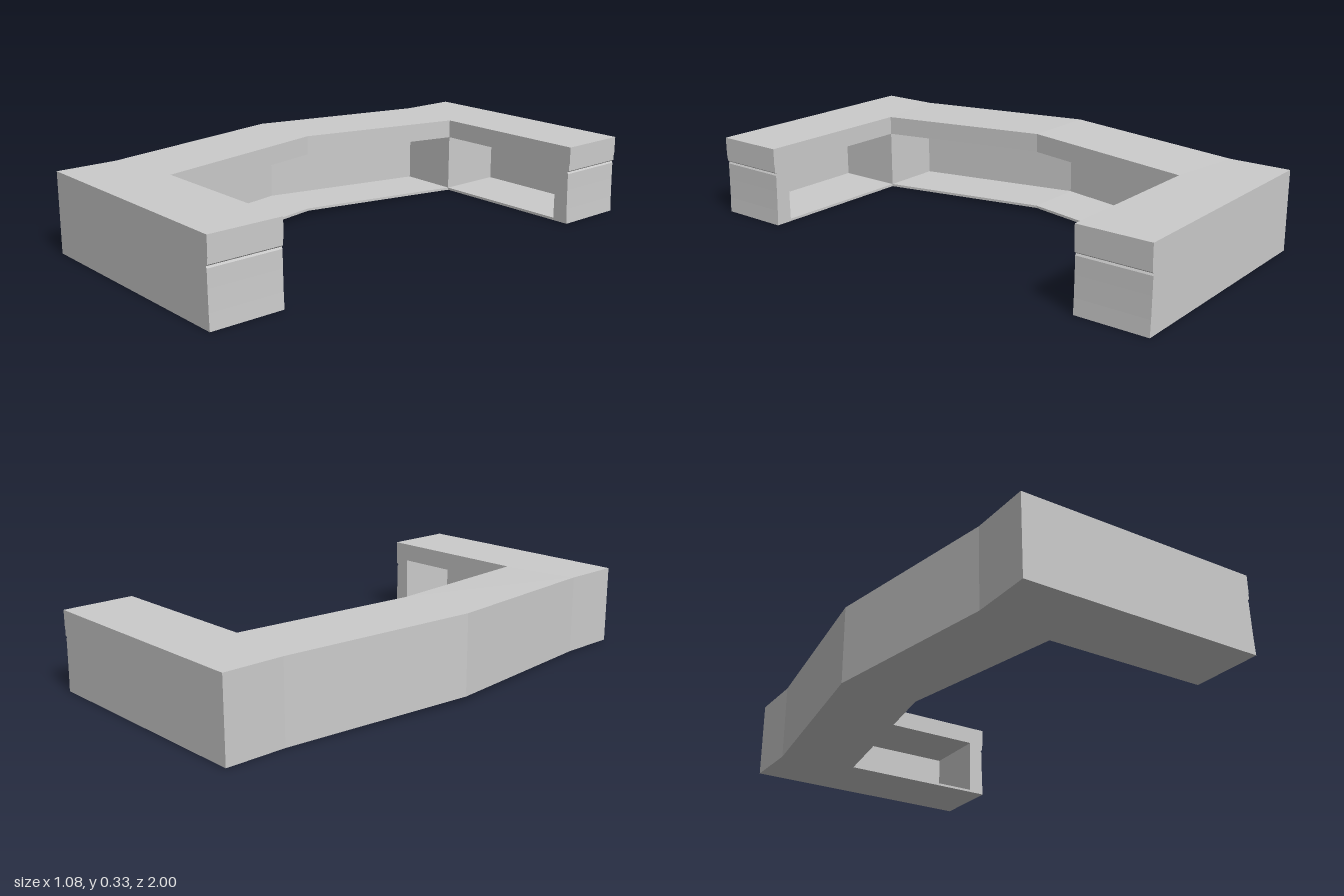
import * as THREE from 'three';

const material = new THREE.MeshStandardMaterial({ color: 0xcccccc });

// Heights
const FLOOR = 0.01, SLAB = 0.24, TOP = 0.315, RISE = 0.017;

// Vertical prism over an [x, z] outline; corners on the middle line are raised
function prism(outline, y0, y1, side) {
  const shape = new THREE.Shape(outline.map(([x, z]) => new THREE.Vector2(x, -z * side)));
  const geo = new THREE.ExtrudeGeometry(shape, { depth: y1 - y0, bevelEnabled: false });
  geo.rotateX(-Math.PI / 2).translate(0, y0, 0);
  const p = geo.attributes.position;
  for (let i = 0; i < p.count; i++) {
    if (Math.abs(p.getZ(i)) < 1e-4) p.setY(i, p.getY(i) + RISE);
  }
  geo.computeVertexNormals();
  return geo;
}

export function createModel() {
  const model = new THREE.Group();
  model.name = 'counter';

  // Plan outlines of one half, from the middle line out to one arm
  const arm = (end) => [[-0.435, 0.76], [-0.435, 1], [end, 1], [end, 0.712], [-0.125, 0.712]];
  const spine = [[-0.435, 0.76], [-0.125, 0.712], [-0.23, 0], [-0.54, 0]];
  const spineWall = [[-0.435, 0.76], [-0.372, 0.712], [-0.48, 0], [-0.54, 0]];
  const corner = [[-0.435, 0.76], [-0.435, 1], [-0.125, 1], [-0.125, 0.712], [-0.372, 0.712]];
  const armWall = [[-0.125, 0.988], [-0.125, 1], [0.475, 1], [0.475, 0.988]];

  // Side profile of the end panel, with a shallow groove below the top slab
  const endProfile = [[0.472, 0], [0.54, 0], [0.537, 0.06], [0.535, 0.14], [0.534, 0.205],
    [0.53, 0.212], [0.538, 0.218], [0.538, SLAB], [0.472, SLAB]];

  for (const side of [1, -1]) {
    const half = new THREE.Group();
    half.name = side > 0 ? 'frontHalf' : 'backHalf';
    const add = (name, geo) => {
      const mesh = new THREE.Mesh(geo, material);
      mesh.name = name;
      half.add(mesh);
    };

    // Countertop
    add('armTop', prism(arm(0.54), SLAB, TOP, side));
    add('spineTop', prism(spine, SLAB, TOP, side));

    // Floor of the open shelf space
    add('armFloor', prism(arm(0.472), 0, FLOOR, side));
    add('spineFloor', prism(spine, 0, FLOOR, side));

    // Outer walls and the closed corner
    add('spineWall', prism(spineWall, FLOOR, SLAB, side));
    add('cornerBlock', prism(corner, FLOOR, SLAB, side));
    add('armWall', prism(armWall, FLOOR, SLAB, side));

    // End panel of the arm
    const shape = new THREE.Shape(endProfile.map(([x, y]) => new THREE.Vector2(x, y)));
    const panel = new THREE.ExtrudeGeometry(shape, { depth: 0.288, bevelEnabled: false });
    panel.translate(0, 0, side > 0 ? 0.712 : -1);
    add('endPanel', panel);

    model.add(half);
  }
  return model;
}
